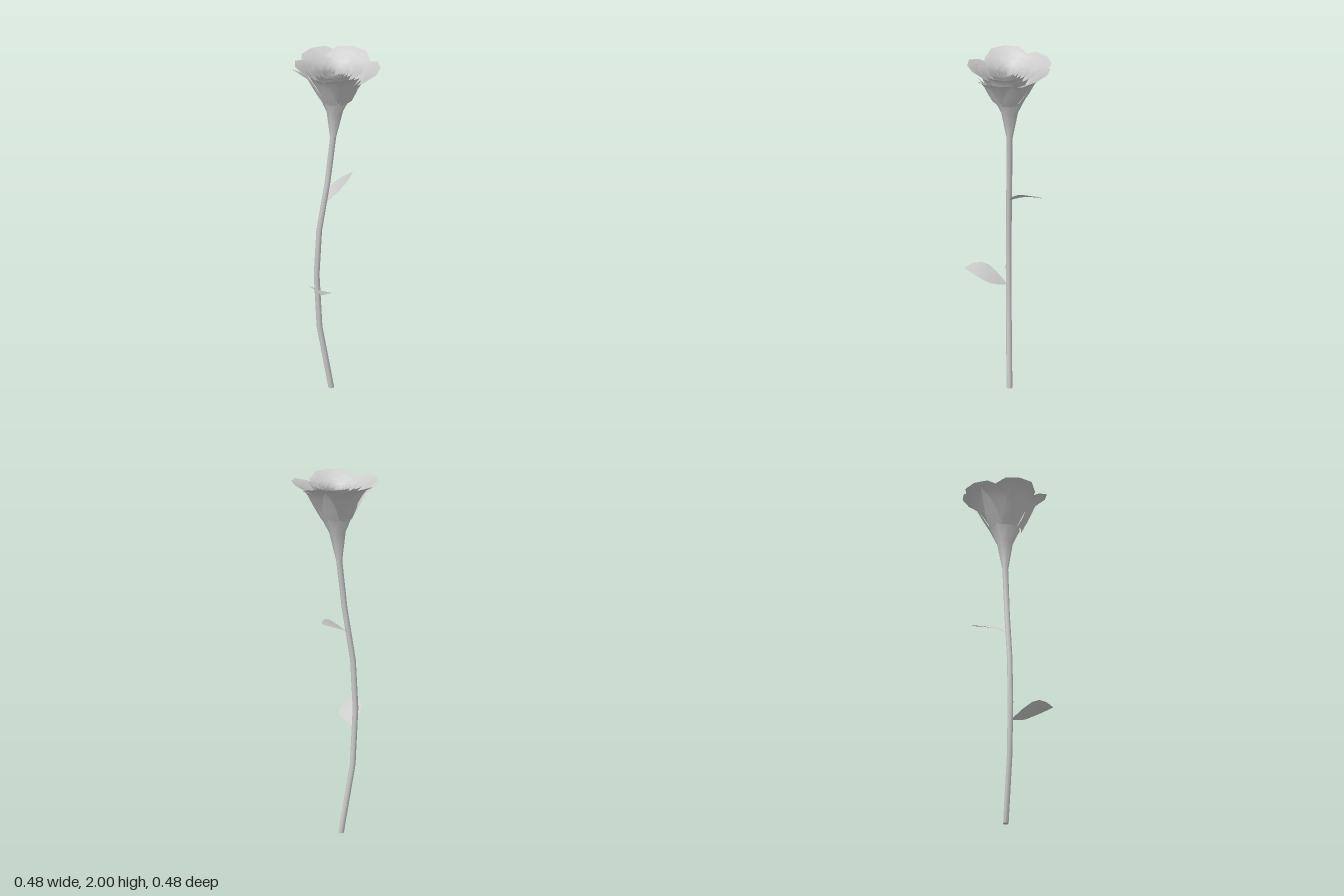
import * as THREE from 'three';
import { mergeVertices } from 'three/addons/utils/BufferGeometryUtils.js';

const material = new THREE.MeshStandardMaterial({ color: 0xcccccc, side: THREE.DoubleSide });
const rad = THREE.MathUtils.degToRad;

// Smooth surface from a grid of points: at(row, column) returns [x, y, z]
function surface(name, rows, cols, at) {
  const pos = [], index = [];
  for (let i = 0; i <= rows; i++) for (let j = 0; j <= cols; j++) pos.push(...at(i, j));
  for (let i = 0; i < rows; i++) for (let j = 0; j < cols; j++) {
    const a = i * (cols + 1) + j, b = a + cols + 1;
    index.push(a, b, a + 1, b, b + 1, a + 1);
  }
  let geo = new THREE.BufferGeometry();
  geo.setAttribute('position', new THREE.Float32BufferAttribute(pos, 3));
  geo.setIndex(index);
  geo = mergeVertices(geo, 1e-5);
  geo.computeVertexNormals();
  const mesh = new THREE.Mesh(geo, material);
  mesh.name = name;
  return mesh;
}

// Bent stem that swells into the cup under the flower: [x, y, radius]
function makeStem() {
  const rings = [
    [-0.025, 0, 0.016], [-0.09, 0.38, 0.016], [-0.106, 0.7, 0.016], [-0.092, 0.97, 0.016],
    [-0.045, 1.27, 0.016], [-0.015, 1.54, 0.017], [-0.005, 1.7, 0.046], [0, 1.79, 0.088],
  ];
  const sides = 8, group = new THREE.Group();
  group.name = 'stem';
  group.add(surface('stemTube', rings.length - 1, sides, (i, j) => {
    const [x, y, r] = rings[i], a = (j % sides) / sides * Math.PI * 2;
    return [x + r * Math.cos(a), y, -0.012 + r * Math.sin(a)];
  }));
  const cap = new THREE.Mesh(new THREE.CircleGeometry(0.016, sides), material);
  cap.name = 'stemEnd';
  cap.rotation.x = Math.PI / 2;
  cap.position.set(-0.025, 0, -0.012);
  group.add(cap);
  return group;
}

// Arched leaf: midrib points, sideways half-width vector and taper per row
function makeLeaf(name, midrib, half) {
  const curve = new THREE.CatmullRomCurve3(midrib.map(p => new THREE.Vector3(...p)));
  const taper = [0.1, 0.65, 1, 0.95, 0.6, 0];
  return surface(name, 5, 2, (i, j) => {
    const p = curve.getPoint(i / 5);
    p.addScaledVector(new THREE.Vector3(...half), (j - 1) * taper[i]);
    if (j === 1) p.y -= 0.008 * taper[i];
    return p.toArray();
  });
}

// Pointed sepal hugging the outer petals: [radius, y, half width]
function makeSepal(angle, reach) {
  const rows = [[0.086, 1.78, 0.046], [0.127, 1.85, 0.042], [0.164, 1.92, 0.026], [reach, 1.975, 0]];
  const c = Math.cos(angle), s = Math.sin(angle);
  return surface('sepal', 3, 2, (i, j) => {
    const [r, y, w] = rows[i], side = (j - 1) * w, out = r - Math.abs(side) * 0.2;
    return [out * c - side * s, y, -0.005 + out * s + side * c];
  });
}

// Cupped petal with a flared, rounded rim; one edge tucks under its neighbour
const flare = [[0.22, 0], [0.44, 0.35], [0.64, 0.68], [0.8, 0.88], [1, 1]];
const spread = [0.7, 0.88, 1, 1, 0.86];
function makePetal(angle, rim, top, halfSpan) {
  const base = 1.76;
  return surface('petal', 4, 4, (i, j) => {
    const v = (j - 2) / 2, edge = Math.abs(v) ** 3 * (i / 4) ** 2;
    const r = rim * flare[i][0] * (1 - 0.16 * edge) * (1 + 0.04 * v);
    const y = base + (top - base) * flare[i][1] - 0.13 * rim * edge;
    const a = angle + v * halfSpan * spread[i];
    return [r * Math.cos(a), y, -0.004 + r * Math.sin(a)];
  });
}

export function createModel() {
  const model = new THREE.Group();
  model.name = 'rose';
  model.add(makeStem());

  model.add(makeLeaf('lowerLeaf',
    [[-0.1, 0.6, 0], [-0.1, 0.655, 0.08], [-0.105, 0.687, 0.15], [-0.115, 0.697, 0.232]],
    [-0.062, 0.026, 0]));
  model.add(makeLeaf('upperLeaf',
    [[-0.052, 1.14, -0.015], [0, 1.187, -0.07], [0.055, 1.215, -0.13], [0.12, 1.23, -0.185]],
    [0.038, 0.024, 0.035]));

  const sepals = new THREE.Group();
  sepals.name = 'sepals';
  [-4, 56, 120, 184, 240, 300].forEach((a, k) => sepals.add(makeSepal(rad(a), k === 3 ? 0.245 : 0.205)));
  model.add(sepals);

  // Outer petals placed one by one: [angle, rim radius, top]
  const flower = new THREE.Group();
  flower.name = 'flower';
  [[15, 0.246, 1.985], [90, 0.225, 2], [178, 0.228, 2], [244, 0.242, 1.99], [301, 0.242, 1.99]]
    .forEach(([a, r, y]) => flower.add(makePetal(rad(a), r, y, 0.82)));

  // Inner whorls: [count, first angle, rim radius, top, half span]
  const whorls = [
    [5, 16, 0.162, 1.975, 0.8], [5, 54, 0.118, 1.965, 0.8], [5, 20, 0.085, 1.958, 0.8],
    [5, 50, 0.06, 1.952, 0.85], [4, 15, 0.04, 1.947, 0.95], [3, 40, 0.022, 1.942, 1.2],
  ];
  for (const [n, start, r, y, span] of whorls)
    for (let k = 0; k < n; k++)
      flower.add(makePetal(rad(start + 360 / n * k), r * (1 + 0.05 * Math.sin(k * 2.4 + n)), y, span));
  model.add(flower);
  return model;
}
